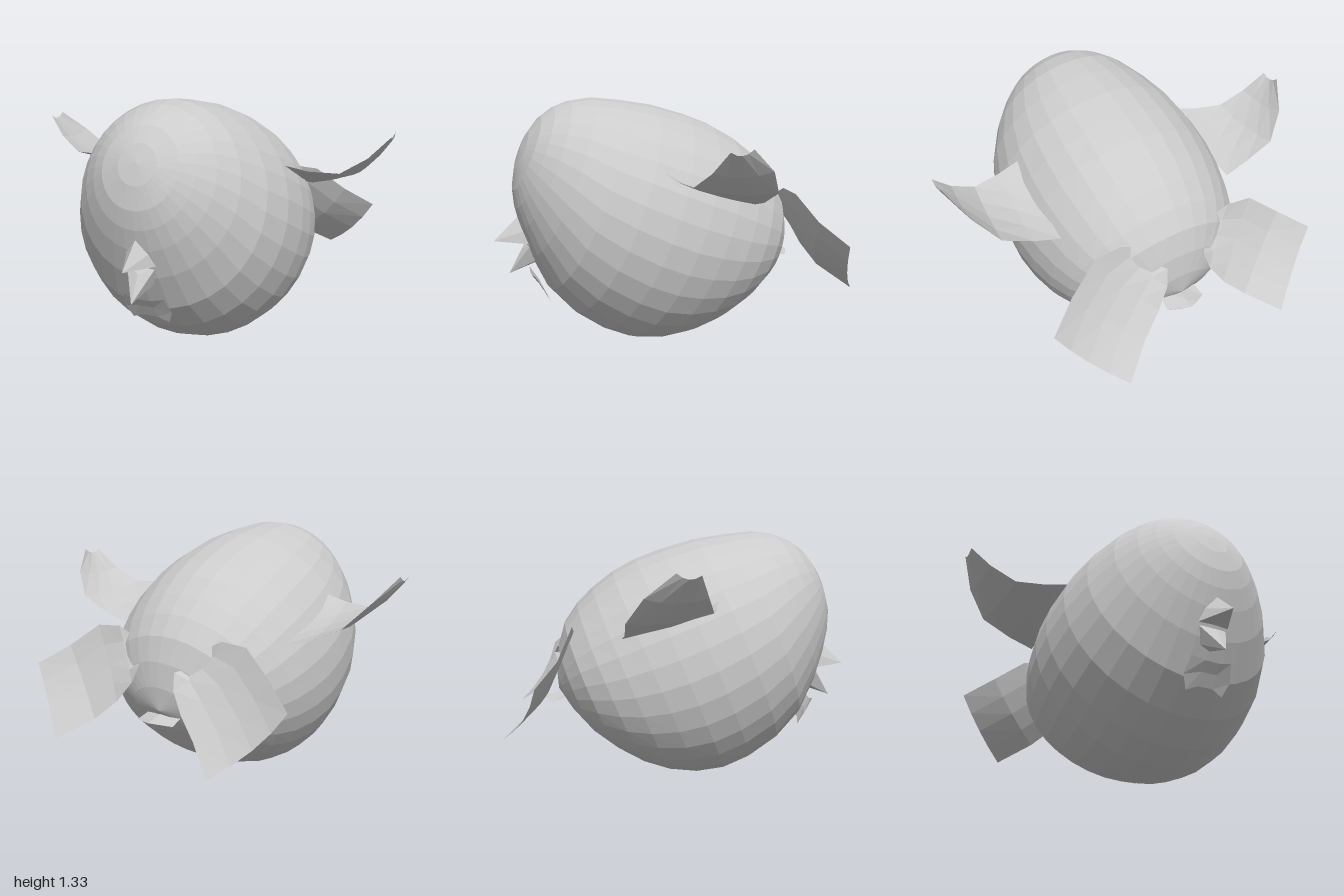
import * as THREE from 'three';
import { ConvexGeometry } from 'three/addons/geometries/ConvexGeometry.js';

const solid = new THREE.MeshStandardMaterial({ color: 0xcccccc, flatShading: true });
const thin = new THREE.MeshStandardMaterial({ color: 0xcccccc, flatShading: true, side: THREE.DoubleSide });

// Surface through equal-length rows of [x, y, z] points
function patch(rows) {
  const n = rows[0].length, index = [];
  for (let i = 0; i < rows.length - 1; i++) {
    for (let j = 0; j < n - 1; j++) {
      const a = i * n + j, b = a + n;
      index.push(a, b, a + 1, b, b + 1, a + 1);
    }
  }
  const g = new THREE.BufferGeometry();
  g.setAttribute('position', new THREE.Float32BufferAttribute(rows.flat(2), 3));
  g.setIndex(index);
  g.computeVertexNormals();
  return g;
}

const mirrorPoint = ([x, y, z]) => [-x, y, z];

// Egg-shaped body: elliptical rings strung along a tilted axis
function bodyGeometry() {
  // distance along axis, top height, bottom height, half width
  const rings = [
    [0, 0, 0, 0], [0.01, 0.095, -0.11, 0.1], [0.04, 0.19, -0.22, 0.2], [0.085, 0.26, -0.305, 0.27],
    [0.15, 0.322, -0.395, 0.345], [0.25, 0.38, -0.51, 0.43], [0.4, 0.425, -0.645, 0.518],
    [0.57, 0.465, -0.725, 0.575], [0.75, 0.485, -0.763, 0.6], [0.9, 0.489, -0.765, 0.6],
    [1.04, 0.474, -0.727, 0.582], [1.17, 0.438, -0.655, 0.55], [1.28, 0.392, -0.56, 0.505],
    [1.38, 0.326, -0.435, 0.435], [1.46, 0.225, -0.305, 0.33], [1.52, 0.115, -0.15, 0.185], [1.56, 0, 0, 0],
  ];
  const sides = 32, c = 0.923, s = 0.385;
  return patch(rings.map(([t, top, bottom, w]) => {
    const row = [];
    for (let j = 0; j <= sides; j++) {
      const a = (j / sides) * Math.PI * 2;
      const h = (top + bottom) / 2 + ((top - bottom) / 2) * Math.sin(a);
      row.push([w * Math.cos(a), 1.065 - t * s + h * c, 0.77 - t * c - h * s]);
    }
    return row;
  }));
}

// Fin stretched between two edge curves, hollowed by a sag vector at its middle
function finRows(edgeA, edgeB, sag) {
  return [0, 0.25, 0.5, 0.75, 1].map(v => edgeA.map((p, i) =>
    p.map((a, k) => a + (edgeB[i][k] - a) * v + sag[k] * 4 * v * (1 - v))));
}

export function createModel() {
  const model = new THREE.Group();
  const add = (name, geometry, material) => {
    const mesh = new THREE.Mesh(geometry, material);
    mesh.name = name;
    model.add(mesh);
  };
  const addPair = (name, rows) => {
    add('left' + name, patch(rows), thin);
    add('right' + name, patch(rows.map(r => r.map(mirrorPoint))), thin);
  };

  add('body', bodyGeometry(), solid);

  // Upswept side fins
  addPair('SideFin', finRows(
    [[0.5, 0.98, 0.14], [0.62, 0.955, 0.12], [0.77, 0.95, 0.085], [0.9, 1.03, 0.045], [1, 1.135, 0]],
    [[0.51, 0.8, -0.335], [0.65, 0.835, -0.322], [0.81, 0.91, -0.322], [0.92, 1.03, -0.245], [1, 1.145, -0.11]],
    [0, -0.022, 0]));

  // Spread tail fins
  addPair('TailFin', finRows(
    [[0.22, 0.79, -0.57], [0.32, 0.84, -0.58], [0.46, 0.83, -0.585], [0.62, 0.71, -0.64], [0.77, 0.61, -0.735]],
    [[0.11, 0.68, -0.68], [0.13, 0.6, -0.715], [0.2, 0.5, -0.75], [0.31, 0.4, -0.8], [0.47, 0.3, -0.925]],
    [0.015, -0.02, 0.025]));

  // Small arched flap under the tail
  add('rearFlap', patch([
    [[-0.1, 0.44, -0.6], [0, 0.45, -0.6], [0.1, 0.44, -0.6]],
    [[-0.11, 0.41, -0.7], [0, 0.435, -0.7], [0.11, 0.41, -0.7]],
    [[-0.05, 0.42, -0.735], [0, 0.425, -0.755], [0.05, 0.42, -0.735]],
  ]), thin);

  // Beak halves
  const hull = pts => new ConvexGeometry(pts.map(p => new THREE.Vector3(...p)));
  add('upperBeak', hull([
    [0, 0.71, 0.79], [-0.065, 0.64, 0.76], [0.065, 0.64, 0.76],
    [-0.085, 0.57, 0.75], [0.085, 0.57, 0.75], [0, 0.58, 0.925],
  ]), solid);
  add('lowerBeak', hull([
    [-0.08, 0.565, 0.74], [0.08, 0.565, 0.74], [0, 0.53, 0.78], [0, 0.4, 0.85],
    [-0.055, 0.47, 0.72], [0.055, 0.47, 0.72], [0, 0.45, 0.71],
  ]), solid);

  // Bow-shaped flap below the beak
  const bowRow = (w, y, z, midY, midZ) => [
    [-w, y, z], [-0.04, midY, midZ], [0, midY, midZ], [0.04, midY, midZ], [w, y, z]];
  add('throatFlap', patch([
    bowRow(0.11, 0.4, 0.73, 0.385, 0.735),
    bowRow(0.128, 0.32, 0.68, 0.34, 0.7),
    bowRow(0.1, 0.255, 0.65, 0.28, 0.665),
  ]), thin);

  return model;
}
